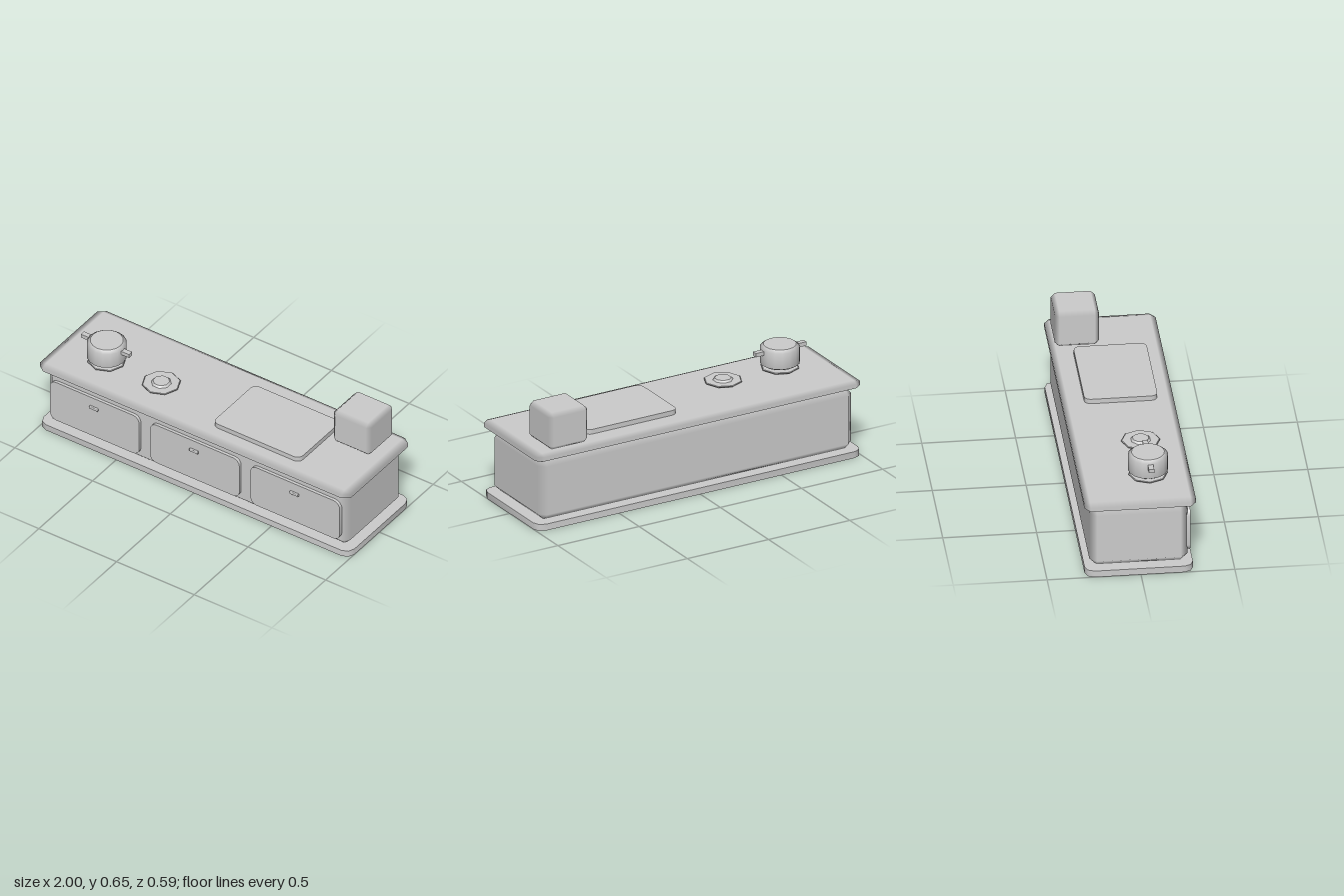
import * as THREE from 'three';
import { toCreasedNormals } from 'three/addons/utils/BufferGeometryUtils.js';
import { ConvexGeometry } from 'three/addons/geometries/ConvexGeometry.js';

// Box with chamfered edges (cut c = [x, y, z]), flat faces and softly shaded bevels
function chamferBox(w, h, d, c) {
  const half = [w / 2, h / 2, d / 2];
  const points = [];
  for (let axis = 0; axis < 3; axis++)
    for (const sx of [-1, 1]) for (const sy of [-1, 1]) for (const sz of [-1, 1]) {
      const p = [sx, sy, sz].map((s, i) => s * (half[i] - (i === axis ? 0 : c[i])));
      points.push(new THREE.Vector3(...p));
    }
  const geo = new ConvexGeometry(points);
  const pos = geo.attributes.position, normal = geo.attributes.normal;
  for (let i = 0; i < pos.count; i++) {
    const p = [pos.getX(i), pos.getY(i), pos.getZ(i)];
    const n = p.map((v, k) => (Math.abs(Math.abs(v) - half[k]) < 1e-5 ? Math.sign(v) : 0));
    normal.setXYZ(i, ...n);
  }
  return geo;
}

// Plate with rounded corners, extruded along +z
function plate(w, h, depth, r, segments) {
  const x = w / 2 - r, y = h / 2 - r, q = Math.PI / 2;
  const s = new THREE.Shape();
  s.absarc(x, y, r, 0, q);
  s.absarc(-x, y, r, q, 2 * q);
  s.absarc(-x, -y, r, 2 * q, 3 * q);
  s.absarc(x, -y, r, 3 * q, 4 * q);
  s.closePath();
  const geo = new THREE.ExtrudeGeometry(s, { depth, bevelEnabled: false, curveSegments: segments });
  return toCreasedNormals(geo, 1);
}

// Turned part; repeated points keep an edge sharp
function turned(profile, sides) {
  return new THREE.LatheGeometry(profile.map(([r, y]) => new THREE.Vector2(r, y)), sides);
}

export function createModel() {
  const group = new THREE.Group();
  const grey = new THREE.MeshStandardMaterial({ color: 0xcccccc });
  grey.name = 'light grey';

  const add = (name, geo, x, y, z) => {
    const mesh = new THREE.Mesh(geo, grey);
    mesh.name = name;
    mesh.position.set(x, y, z);
    group.add(mesh);
    return mesh;
  };

  // Cabinet: plinth, body and worktop
  add('plinth', plate(2, 0.577, 0.037, 0.05, 1).rotateX(-Math.PI / 2), 0, 0, -0.0065);
  add('cabinetBody', chamferBox(1.93, 0.352, 0.522, [0.038, 0.038, 0.038]), 0, 0.212, -0.006);
  add('worktop', chamferBox(2, 0.048, 0.594, [0.04, 0.013, 0.03]), 0, 0.412, 0);

  // Three doors with handles
  for (const x of [-0.645, 0, 0.645]) {
    add('door', plate(0.574, 0.253, 0.022, 0.04, 2), x, 0.213, 0.25);
    add('doorHandle', chamferBox(0.058, 0.02, 0.015, [0.005, 0.005, 0.005]), x, 0.28, 0.2795);
  }

  // Two hob rings
  for (const x of [-0.706, -0.355]) {
    add('burnerPlate', turned([[0, 0], [0.09, 0], [0.105, 0.01], [0.1, 0.014], [0.1, 0.014], [0, 0.014]], 8),
      x, 0.436, 0.07);
    const cap = add('burnerCap', turned([[0.064, 0], [0.06, 0.008], [0.045, 0.025], [0.045, 0.025], [0, 0.025]], 8),
      x, 0.436, 0.07);
    cap.rotation.y = Math.PI / 8;
  }

  // Cooking pot with side handles
  add('pot', turned([
    [0, 0], [0.09, 0], [0.09, 0], [0.107, 0.011], [0.107, 0.1], [0.088, 0.115], [0.088, 0.115], [0, 0.115],
  ], 16), -0.706, 0.463, 0.07);
  for (const side of [-1, 1])
    add('potHandle', new THREE.BoxGeometry(0.07, 0.022, 0.029), -0.706 + side * 0.12, 0.548, 0.072);

  // Chopping board
  add('choppingBoard', plate(0.56, 0.39, 0.028, 0.035, 2).rotateX(-Math.PI / 2), 0.35, 0.435, 0.015);

  // Countertop box
  add('countertopBox', chamferBox(0.242, 0.212, 0.235, [0.023, 0.023, 0.023]), 0.79, 0.542, -0.1525);

  return group;
}
